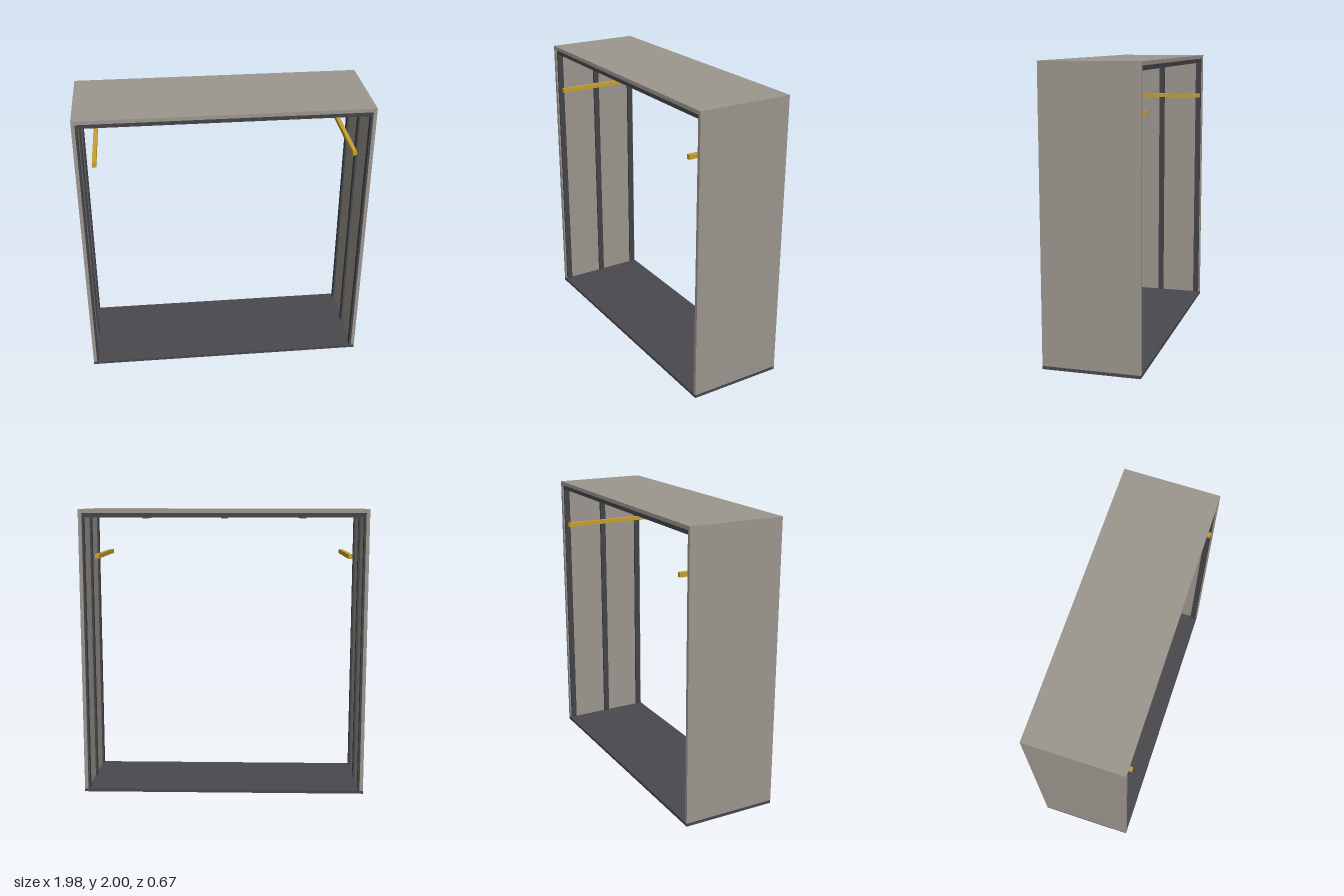
import * as THREE from 'three';

const mat = (name, color) => {
  const m = new THREE.MeshStandardMaterial({ color });
  m.name = name;
  return m;
};

export function createModel() {
  const shell = mat('warm grey panel', 0x9c968e);
  const floorMat = mat('dark grey floor', 0x49484d);
  const ribMat = mat('charcoal rib', 0x434449);
  const plateMat = mat('grey fixture', 0x54565a);
  const gold = mat('gold rail', 0xc8a02e);

  const model = new THREE.Group();
  model.name = 'corridorSection';

  // Box given by its lower and upper limits on each axis
  const box = (name, material, [x0, x1], [y0, y1], [z0, z1]) => {
    const mesh = new THREE.Mesh(new THREE.BoxGeometry(x1 - x0, y1 - y0, z1 - z0), material);
    mesh.position.set((x0 + x1) / 2, (y0 + y1) / 2, (z0 + z1) / 2);
    mesh.name = name;
    model.add(mesh);
  };

  const W = 0.992, D = 0.333, FLOOR = 0.022, CEIL = 1.974, INNER = 0.968;
  const depth = [-D, D];
  const mirrored = (s, a, b) => (s > 0 ? [a, b] : [-b, -a]);

  // Floor and roof slabs
  box('floor', floorMat, [-W, W], [0, FLOOR], depth);
  box('roof', shell, [-W, W], [CEIL, 2], depth);

  // Side walls and the rails that run along them
  for (const s of [1, -1]) {
    const side = s > 0 ? 'left' : 'right';
    box(side + 'Wall', shell, mirrored(s, INNER, W), [FLOOR, CEIL], depth);
    box(side + 'Rail', gold, mirrored(s, 0.852, 0.88), [1.665, 1.695], depth);
  }

  // Ribs framing the inside at the front, middle and back
  for (const z of [-0.302, 0, 0.302]) {
    const span = [z - 0.021, z + 0.021];
    box('ceilingRib', ribMat, [-INNER, INNER], [1.943, CEIL], span);
    for (const s of [1, -1]) {
      box('wallRib', ribMat, mirrored(s, 0.955, INNER), [FLOOR, 1.943], span);
    }
  }

  // Slim fixtures hung under the middle ceiling rib
  for (const x of [-0.555, 0, 0.555]) {
    box('ceilingFixture', plateMat, [x - 0.021, x + 0.021], [1.934, 1.943], [-0.12, 0.12]);
  }

  return model;
}
